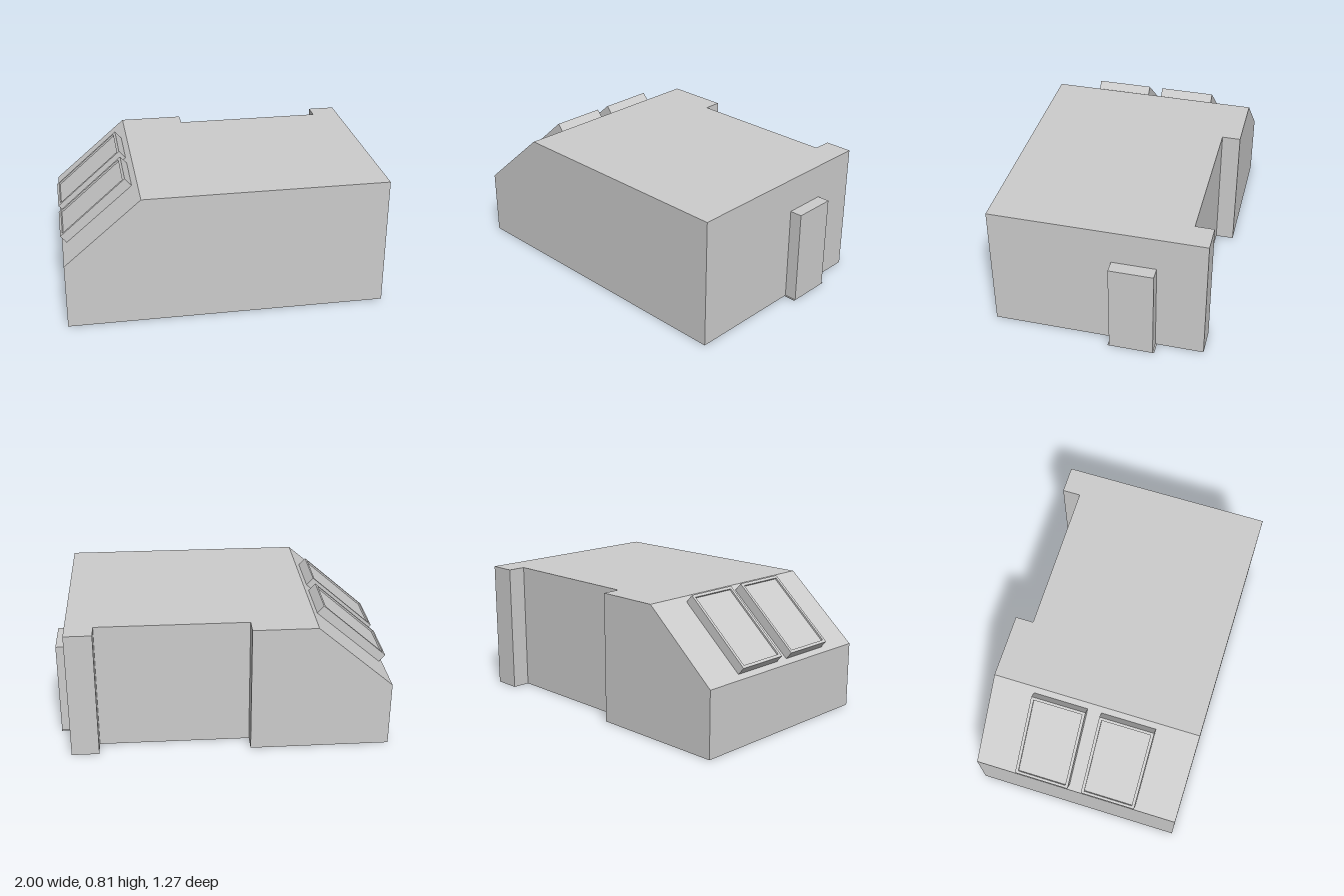
import * as THREE from 'three';

const material = new THREE.MeshStandardMaterial({ color: 0xcccccc, flatShading: true });

function part(name, geometry, x = 0, y = 0, z = 0) {
  const mesh = new THREE.Mesh(geometry, material);
  mesh.name = name;
  mesh.position.set(x, y, z);
  return mesh;
}

// House body: walls raised from a plan outline, cut by a sloped roof on one end.
function bodyGeometry() {
  const left = -0.99, right = 0.925, depth = 0.635, ridge = -0.535;
  const eave = 0.4, top = 0.79, notch = -0.525;
  const plan = [
    [left, -depth], [left, depth], [ridge, depth], [right, depth], [right, -depth],
    [0.76, -depth], [0.76, notch], [-0.15, notch], [-0.15, -depth], [ridge, -depth],
  ];
  const height = (x) => (x < ridge ? eave : top);
  const low = plan.map(([x, z]) => [x, 0, z]);
  const high = plan.map(([x, z]) => [x, height(x), z]);
  const positions = [];
  const tri = (a, b, c) => positions.push(...a, ...b, ...c);
  const quad = (a, b, c, d) => { tri(a, b, c); tri(a, c, d); };
  const triangulate = (ring) => THREE.ShapeUtils.triangulateShape(
    ring.map(([x, , z]) => new THREE.Vector2(x, -z)), []);

  // Outer walls
  plan.forEach((_, i) => {
    const j = (i + 1) % plan.length;
    quad(low[i], low[j], high[j], high[i]);
  });
  // Sloped roof, flat roof and floor
  quad(high[0], high[1], high[2], high[9]);
  const flat = high.slice(2);
  triangulate(flat).forEach(([a, b, c]) => tri(flat[a], flat[b], flat[c]));
  triangulate(low).forEach(([a, b, c]) => tri(low[a], low[c], low[b]));

  const geometry = new THREE.BufferGeometry();
  geometry.setAttribute('position', new THREE.Float32BufferAttribute(positions, 3));
  geometry.computeVertexNormals();
  return geometry;
}

function rectangle(PathType, length, width) {
  const x = length / 2, y = width / 2;
  return new PathType([[-x, -y], [x, -y], [x, y], [-x, y]].map((p) => new THREE.Vector2(...p)));
}

// Roof window: a thin-edged frame around a slightly sunken pane.
function skylight(z) {
  const length = 0.524, width = 0.335, thick = 0.06, rim = 0.018;
  const group = new THREE.Group();
  group.name = 'skylight';
  const shape = rectangle(THREE.Shape, length, width);
  shape.holes.push(rectangle(THREE.Path, length - 2 * rim, width - 2 * rim));
  const frame = new THREE.ExtrudeGeometry(shape, { depth: thick, bevelEnabled: false });
  frame.rotateX(-Math.PI / 2);
  const pane = new THREE.BoxGeometry(length - 2 * rim, thick - 0.01, width - 2 * rim);
  group.add(part('skylightFrame', frame), part('skylightPane', pane, 0, (thick - 0.01) / 2, 0));
  group.position.set(-0.7625, 0.5925, z);
  group.rotation.z = Math.atan2(0.345, 0.395);
  return group;
}

export function createModel() {
  const model = new THREE.Group();
  model.name = 'house';
  model.add(part('body', bodyGeometry()));
  for (const side of [-1, 1]) model.add(skylight(side * 0.21));

  // Chimney-like block on the end wall, with its thin foot plate
  model.add(part('endBlock', new THREE.BoxGeometry(0.075, 0.58, 0.262), 0.9625, 0.29, -0.217));
  model.add(part('footPlate', new THREE.BoxGeometry(0.075, 0.003, 0.28), 0.9625, 0.0015, -0.217));
  return model;
}
